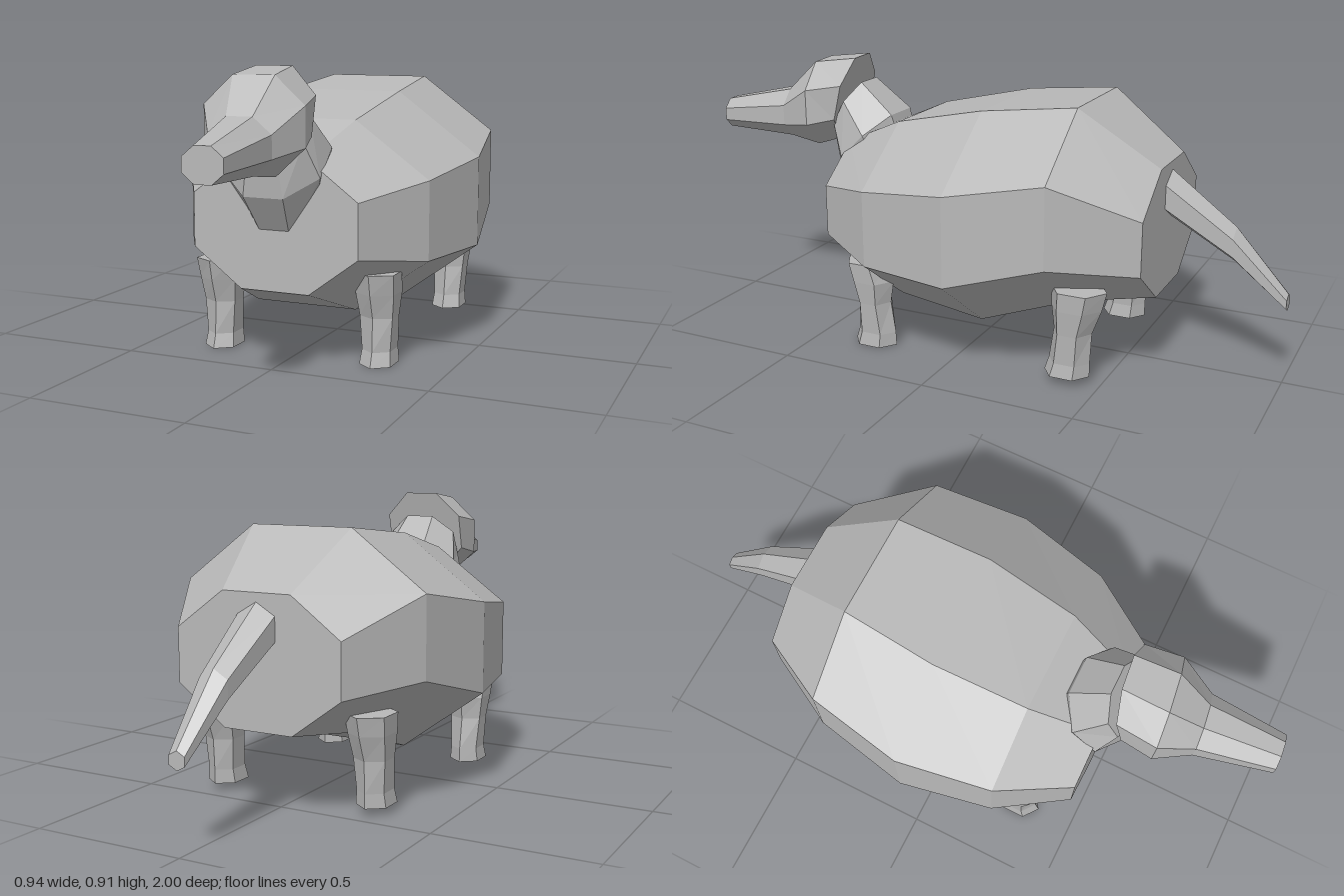
import * as THREE from 'three';

// One cross-section: top and bottom points as [y, z], half width and yaw skew
function ring(n, cx, top, bottom, halfWidth, yaw = 0) {
  const angles = Array.from({ length: n }, (_, i) => ((i + 0.5) * 2 * Math.PI) / n);
  const maxC = Math.max(...angles.map((a) => Math.cos(a)));
  const maxS = Math.max(...angles.map((a) => Math.sin(a)));
  return angles.map((a) => {
    const c = (Math.cos(a) / maxC) * halfWidth;
    const s = Math.sin(a) / maxS;
    return [
      cx + c,
      (top[0] + bottom[0]) / 2 + (s * (top[0] - bottom[0])) / 2,
      (top[1] + bottom[1]) / 2 + (s * (top[1] - bottom[1])) / 2 - c * yaw,
    ];
  });
}

// Closed faceted skin over a run of cross-sections
function loft(name, rings, material) {
  const n = rings[0].length;
  const index = [];
  for (let r = 0; r < rings.length - 1; r++) {
    for (let i = 0; i < n; i++) {
      const a = r * n + i;
      const b = r * n + ((i + 1) % n);
      index.push(a, b, b + n, a, b + n, a + n);
    }
  }
  const last = (rings.length - 1) * n;
  for (let i = 1; i < n - 1; i++) {
    index.push(0, i + 1, i, last, last + i, last + i + 1);
  }
  const indexed = new THREE.BufferGeometry();
  indexed.setAttribute('position', new THREE.Float32BufferAttribute(rings.flat(2), 3));
  indexed.setIndex(index);
  const geometry = indexed.toNonIndexed();
  geometry.computeVertexNormals();
  const mesh = new THREE.Mesh(geometry, material);
  mesh.name = name;
  return mesh;
}

export function createModel() {
  const group = new THREE.Group();
  group.name = 'animal';
  const hide = new THREE.MeshStandardMaterial({ color: 0xb8b8b8, flatShading: true });
  hide.name = 'grey hide';

  // Barrel body, rear to front: z, top, bottom, half width
  const body = [
    [-0.62, 0.67, 0.26, 0.28],
    [-0.37, 0.845, 0.225, 0.42],
    [-0.06, 0.81, 0.115, 0.47],
    [0.25, 0.74, 0.145, 0.41],
    [0.475, 0.64, 0.235, 0.272],
  ];
  group.add(loft('body', body.map(([z, t, b, w]) => ring(8, 0, [t, z], [b, z], w)), hide));

  // Neck, rising forward out of the body
  group.add(loft('neck', [
    ring(8, 0, [0.58, 0.3], [0.4, 0.46], 0.11),
    ring(8, 0, [0.73, 0.34], [0.53, 0.545], 0.157),
    ring(8, 0.005, [0.83, 0.46], [0.64, 0.56], 0.12),
  ], hide));

  // Head and snout, turned slightly to the left
  group.add(loft('head', [
    ring(8, 0.01, [0.912, 0.48], [0.63, 0.55], 0.135, 0.1),
    ring(8, 0.02, [0.892, 0.63], [0.606, 0.63], 0.15, 0.13),
    ring(8, 0.035, [0.785, 0.745], [0.622, 0.745], 0.092, 0.13),
    ring(8, 0.063, [0.732, 0.993], [0.632, 0.993], 0.058, 0.1),
  ], hide));

  // Drooping tail, tip to root
  group.add(loft('tail', [
    ring(6, 0, [0.295, -1], [0.24, -1], 0.026),
    ring(6, 0, [0.485, -0.83], [0.375, -0.83], 0.047),
    ring(6, 0, [0.665, -0.59], [0.51, -0.59], 0.066),
  ], hide));

  // Legs, sole to hip: y, back z, front z, half width
  const frontLeg = [
    [0, 0.22, 0.375, 0.051],
    [0.045, 0.222, 0.36, 0.046],
    [0.15, 0.238, 0.355, 0.053],
    [0.225, 0.226, 0.378, 0.062],
    [0.29, 0.245, 0.392, 0.066],
  ];
  const hindLeg = [
    [0.025, -0.465, -0.315, 0.051],
    [0.07, -0.465, -0.33, 0.046],
    [0.17, -0.47, -0.345, 0.053],
    [0.25, -0.5, -0.335, 0.062],
    [0.31, -0.515, -0.335, 0.066],
  ];
  for (const [side, sign] of [['Left', 1], ['Right', -1]]) {
    for (const [name, rows] of [['frontLeg', frontLeg], ['hindLeg', hindLeg]]) {
      const rings = rows.map(([y, back, front, w]) => ring(6, sign * 0.27, [y, back], [y, front], w));
      group.add(loft(name + side, rings, hide));
    }
  }
  return group;
}
